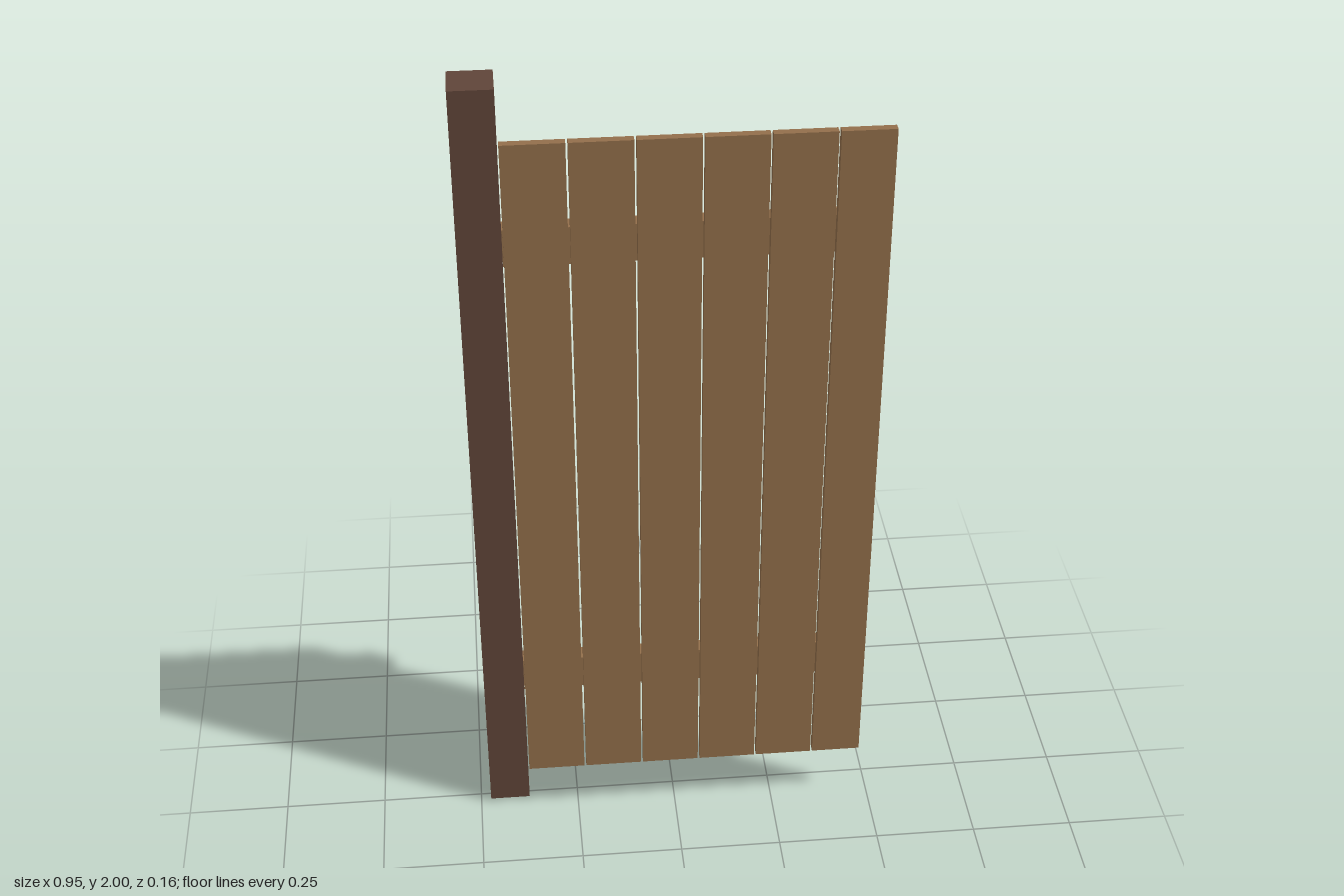
import * as THREE from 'three';

export function createModel() {
  const gate = new THREE.Group();
  gate.name = 'gate';

  const plankWood = new THREE.MeshStandardMaterial({ color: 0x936f4b });
  plankWood.name = 'plankWood';
  const postWood = new THREE.MeshStandardMaterial({ color: 0x604539 });
  postWood.name = 'postWood';

  // Box given by its lower and upper limits on each axis
  function board(name, material, [x0, x1], [y0, y1], [z0, z1]) {
    const mesh = new THREE.Mesh(new THREE.BoxGeometry(x1 - x0, y1 - y0, z1 - z0), material);
    mesh.position.set((x0 + x1) / 2, (y0 + y1) / 2, (z0 + z1) / 2);
    mesh.name = name;
    gate.add(mesh);
  }

  // Square hinge post
  board('post', postWood, [-0.475, -0.375], [0, 2], [-0.08, 0.02]);

  // Horizontal rails behind the planks
  board('lowerRail', plankWood, [-0.375, 0.475], [0.4, 0.49], [0.02, 0.06]);
  board('upperRail', plankWood, [-0.375, 0.475], [1.6, 1.69], [0.02, 0.06]);

  // Six vertical planks with narrow gaps, the last one trimmed to fit
  const pitch = 0.145, width = 0.14, end = 0.4735;
  for (let i = 0; i < 6; i++) {
    const x = -0.3725 + i * pitch;
    board(`plank${i + 1}`, plankWood, [x, Math.min(x + width, end)], [0.15, 1.9], [0.06, 0.08]);
  }

  return gate;
}
